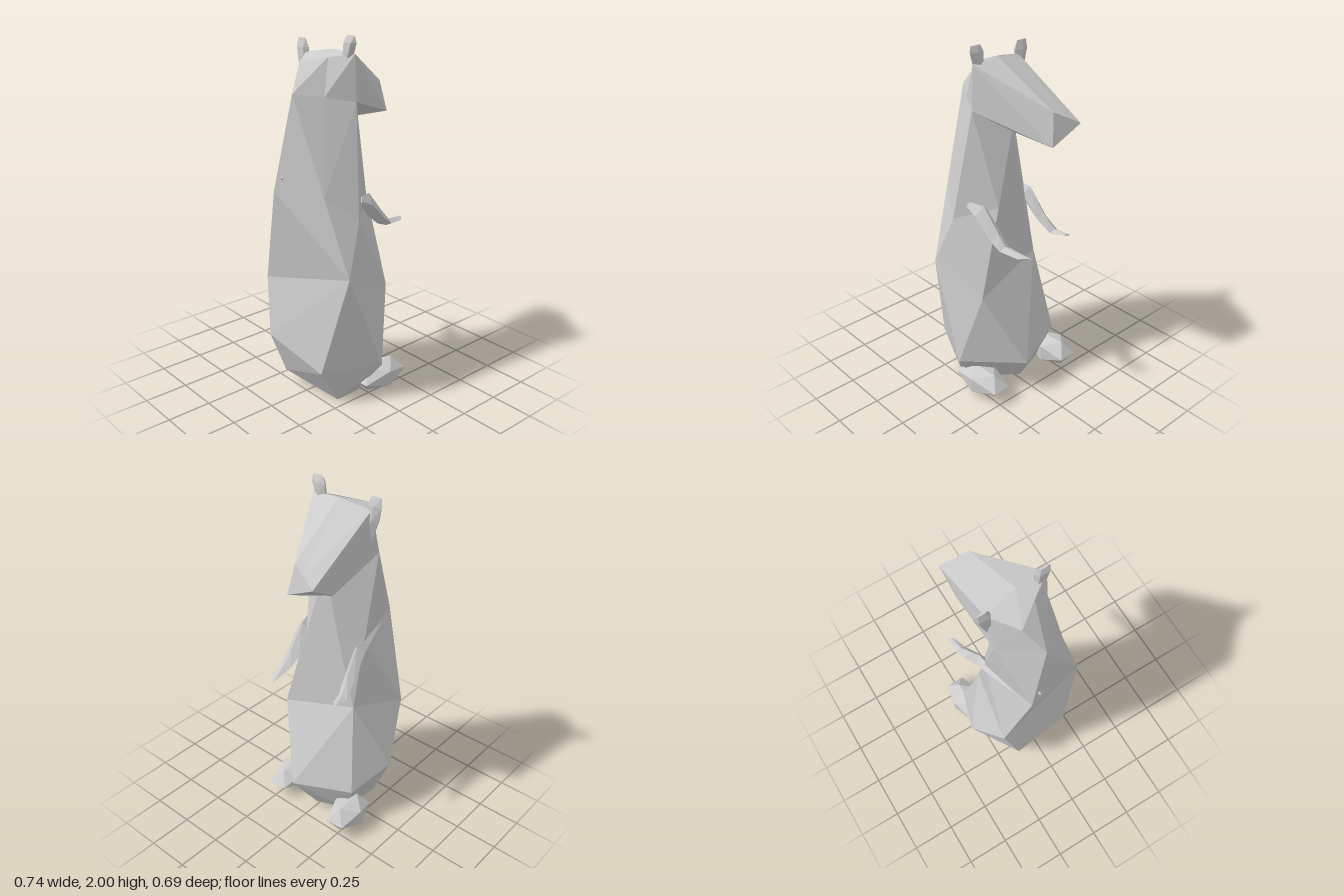
import * as THREE from 'three';

const material = new THREE.MeshStandardMaterial({ color: 0xcccccc, flatShading: true });

// True if point d lies above the plane of the triangle a, b, c.
function isAbove(a, b, c, d) {
  const [A, B, C, D] = [a, b, c, d].map((p) => new THREE.Vector3(...p));
  return B.sub(A).cross(C.sub(A)).dot(D.sub(A)) > 0;
}

// Skin a list of rings (equal point counts, counter-clockwise seen from the last ring) and cap both ends.
// Each quad is split along the diagonal that bulges outward.
function loft(name, rings) {
  const n = rings[0].length;
  const points = rings.flat();
  const index = [];
  for (let i = 0; i < rings.length - 1; i++) {
    for (let j = 0; j < n; j++) {
      const a = i * n + j, b = i * n + (j + 1) % n, c = a + n, d = b + n;
      if (isAbove(points[a], points[b], points[d], points[c])) index.push(a, b, c, b, d, c);
      else index.push(a, b, d, a, d, c);
    }
  }
  const top = (rings.length - 1) * n;
  for (let j = 1; j < n - 1; j++) index.push(0, j + 1, j, top, top + j, top + j + 1);
  const indexed = new THREE.BufferGeometry();
  indexed.setAttribute('position', new THREE.Float32BufferAttribute(points.flat(), 3));
  indexed.setIndex(index);
  const geometry = indexed.toNonIndexed();
  geometry.computeVertexNormals();
  const mesh = new THREE.Mesh(geometry, material);
  mesh.name = name;
  return mesh;
}

// Ring of n points around a centre, spanned by a right and an up half-axis.
function ring([x, y, z], right, up, n) {
  return Array.from({ length: n }, (_, i) => {
    const a = (i / n) * Math.PI * 2, c = Math.cos(a), s = Math.sin(a);
    return [x + right[0] * c + up[0] * s, y + right[1] * c + up[1] * s, z + right[2] * c + up[2] * s];
  });
}

// Arm running forward: [x, y, z, half width, half height, skew] along its length.
function arm(name, path) {
  return loft(name, path.map(([x, y, z, w, h, skew = 0]) =>
    ring([x, y, z], [skew, 0, -w], [h * 0.4, h, 0], 4)));
}

// Blunt ear running upward, leaning sideways.
function ear(name, x, y, z, height, lean) {
  const sections = [[0, 0.008, 0.012], [0.45, 0.026, 0.035], [0.8, 0.022, 0.045], [1, 0.006, 0.032]];
  return loft(name, sections.map(([t, w, d]) =>
    ring([x, y + t * height, z + t * lean], [w, 0, 0], [0, 0, -d], 5)));
}

// Faceted foot.
function foot(name, position, size, turn) {
  const mesh = new THREE.Mesh(new THREE.IcosahedronGeometry(1, 0), material);
  mesh.name = name;
  mesh.position.set(...position);
  mesh.scale.set(...size);
  mesh.rotation.y = turn;
  return mesh;
}

export function createModel() {
  const model = new THREE.Group();
  model.name = 'standingAnimal';

  // Torso and neck; each ring runs back, left back, left front, front, right front, right back
  model.add(loft('body', [
    [[-0.28, 0.08, -0.15], [-0.18, 0, 0.19], [-0.04, 0.01, 0.2], [0.15, 0.03, 0], [0.1, 0.05, -0.18], [-0.12, 0.07, -0.22]],
    [[-0.37, 0.33, -0.17], [-0.305, 0.21, 0.2], [0.01, 0.22, 0.345], [0.28, 0.22, 0.07], [0.145, 0.25, -0.265], [-0.1, 0.35, -0.345]],
    [[-0.325, 0.65, -0.245], [-0.21, 0.78, 0.32], [0.115, 0.65, 0.255], [0.104, 0.67, 0.18], [0.05, 0.77, -0.19], [-0.05, 0.74, -0.205]],
    [[-0.37, 1.2, -0.1], [-0.257, 1.2, 0.177], [-0.1, 1.07, 0.27], [0.09, 1.15, 0.113], [0.06, 1.15, -0.097], [-0.035, 1.15, -0.188]],
    [[-0.315, 1.72, 0], [-0.18, 1.7, 0.09], [-0.04, 1.67, 0.175], [0.07, 1.55, 0], [0.062, 1.55, -0.015], [-0.145, 1.64, -0.185]],
    [[-0.21, 1.86, -0.07], [-0.12, 1.89, 0.05], [-0.04, 1.91, 0.165], [-0.04, 1.92, 0], [-0.08, 1.89, -0.18], [-0.145, 1.88, -0.125]],
  ]));

  // Wedge-shaped head, slightly turned to one side
  model.add(loft('head', [
    [[-0.04, 1.67, 0.175], [0.07, 1.55, 0], [-0.145, 1.64, -0.185], [-0.08, 1.89, -0.18], [-0.04, 1.92, 0], [-0.04, 1.91, 0.165]],
    [[0.355, 1.54, -0.01], [0.285, 1.54, -0.1], [0.215, 1.54, -0.185], [0.37, 1.63, -0.19], [0.345, 1.675, -0.11], [0.325, 1.71, -0.04]],
  ]));

  model.add(ear('leftEar', -0.05, 1.83, 0.11, 0.17, 0.03));
  model.add(ear('rightEar', -0.085, 1.73, -0.175, 0.23, -0.03));

  // Arms with flat, pointed hands
  model.add(arm('leftArm', [
    [-0.04, 1.15, 0.21, 0.015, 0.025], [0.03, 1.12, 0.18, 0.05, 0.05], [0.14, 1.01, 0.172, 0.045, 0.035],
    [0.2, 0.968, 0.17, 0.035, 0.018], [0.33, 0.955, 0.147, 0.027, 0.004, 0.025],
  ]));
  model.add(arm('rightArm', [
    [-0.25, 1.16, -0.13, 0.008, 0.01], [-0.09, 1.14, -0.17, 0.025, 0.03], [0, 1.11, -0.185, 0.035, 0.05],
    [0.1, 0.99, -0.2, 0.035, 0.035], [0.18, 0.925, -0.22, 0.03, 0.018], [0.265, 0.932, -0.235, 0.018, 0.004, 0.015],
  ]));

  model.add(foot('leftFoot', [0.09, 0.09, 0.24], [0.185, 0.085, 0.105], 0.05));
  model.add(foot('rightFoot', [0.155, 0.105, -0.25], [0.16, 0.09, 0.105], 0.05));

  // Small nub on the back
  const nub = new THREE.Mesh(new THREE.OctahedronGeometry(0.012), material);
  nub.name = 'backNub';
  nub.position.set(-0.355, 1.28, -0.045);
  model.add(nub);

  return model;
}
